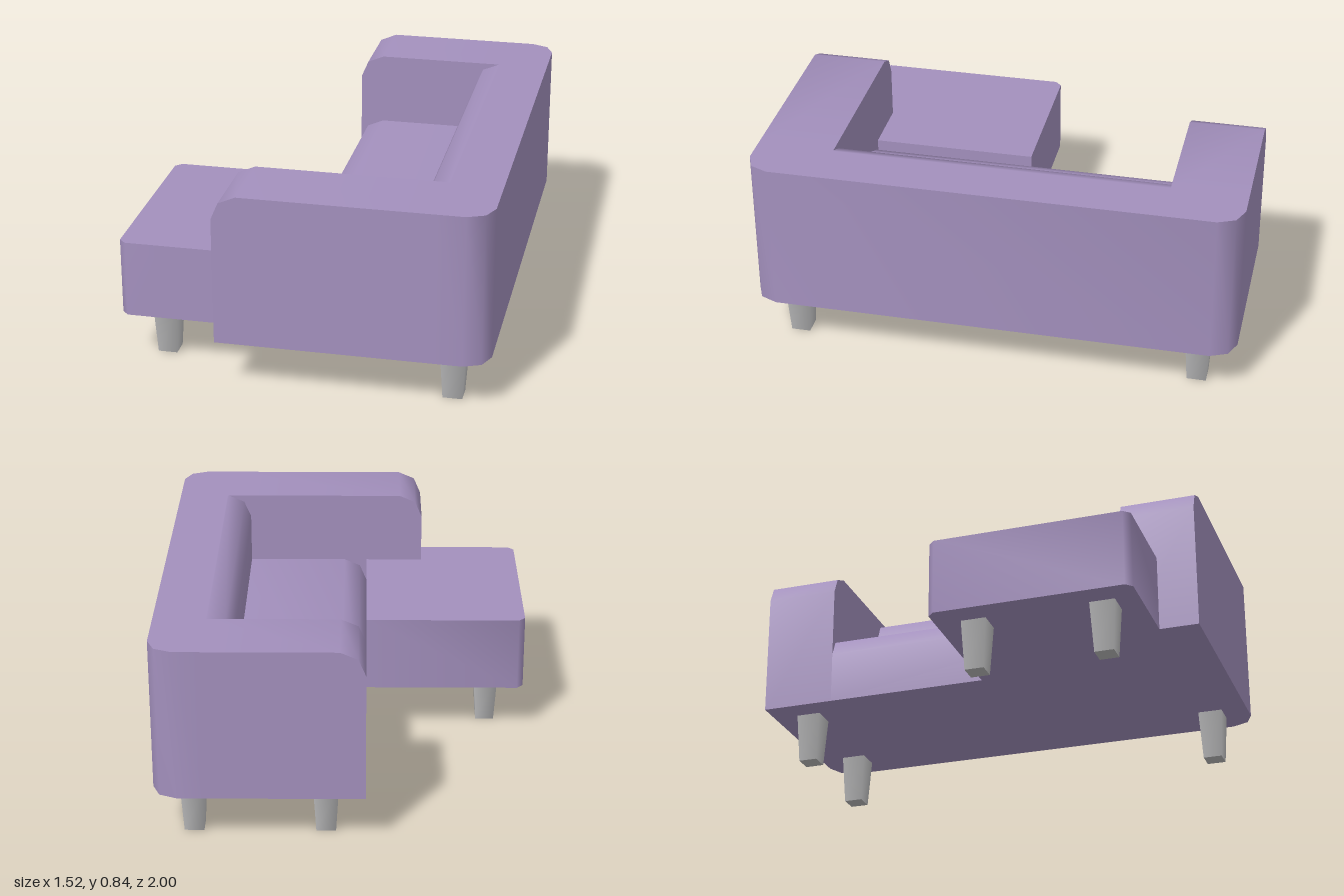
import * as THREE from 'three';
import { toCreasedNormals } from 'three/addons/utils/BufferGeometryUtils.js';

const BASE = 0.21, SEAT = 0.53, TOP = 0.84, JOIN = 0.55;

function extrude(points, depth) {
  const shape = new THREE.Shape(points.map(([x, y]) => new THREE.Vector2(x, y)));
  return new THREE.ExtrudeGeometry(shape, { depth, bevelEnabled: false });
}

// Side profile (x, y) swept from z0 to z1
function sweepZ(points, z0, z1) {
  return toCreasedNormals(extrude(points, z1 - z0).translate(0, 0, z0), 0.9);
}

// Floor plan (x, -z) raised from y0 to y1
function raiseY(points, y0, y1) {
  return toCreasedNormals(extrude(points, y1 - y0).rotateX(-Math.PI / 2).translate(0, y0, 0), 0.9);
}

// Two-step rounded edge, from the top back to the front face
function roundedFront(x, y) {
  return [[x + 0.1, y], [x + 0.03, y - 0.03], [x, y - 0.1]];
}

export function createModel() {
  const group = new THREE.Group();
  const fabric = new THREE.MeshStandardMaterial({ color: 0xa390bd });
  fabric.name = 'purple fabric';
  const metal = new THREE.MeshStandardMaterial({ color: 0xb9b9ba });
  metal.name = 'grey leg';

  function add(name, geometry, material) {
    const mesh = new THREE.Mesh(geometry, material);
    mesh.name = name;
    group.add(mesh);
    return mesh;
  }

  // Outer back with rounded upright corners
  add('outerBack', raiseY([
    [JOIN, -1], [0.66, -1], [0.73, -0.97], [0.76, -0.9],
    [0.76, 0.9], [0.73, 0.97], [0.66, 1], [JOIN, 1],
  ], BASE, TOP), fabric);

  // Seat and backrest, each with a rounded front edge
  add('seat', sweepZ([
    [JOIN, BASE], [JOIN, SEAT], ...roundedFront(-0.08, SEAT), [-0.08, BASE],
  ], -0.69, 0.685), fabric);
  add('backrest', sweepZ([
    [JOIN, SEAT], [JOIN, TOP], ...roundedFront(0.445, TOP), [0.445, SEAT],
  ], -0.69, 0.685), fabric);

  // Arms: the left one is longer
  for (const [name, x, z0, z1] of [['leftArm', -0.33, 0.685, 1], ['rightArm', -0.08, -1, -0.69]]) {
    add(name, sweepZ([
      [JOIN, BASE], [JOIN, TOP], ...roundedFront(x, TOP), [x, BASE],
    ], z0, z1), fabric);
  }

  // Chaise block with clipped outer corners
  add('chaise', raiseY([
    [-0.08, 0], [-0.735, 0], [-0.762, -0.027],
    [-0.762, -0.81], [-0.735, -0.837], [-0.08, -0.837],
  ], BASE, SEAT), fabric);

  // Tapered square legs with soft shading
  const leg = new THREE.CylinderGeometry(0.0735, 0.056, BASE, 4).rotateY(Math.PI / 4);
  for (const [x, z] of [[0.605, 0.84], [0.605, -0.84], [0.078, -0.84], [-0.605, 0.16], [-0.605, 0.69]]) {
    add('leg', leg, metal).position.set(x, BASE / 2, z);
  }
  return group;
}
